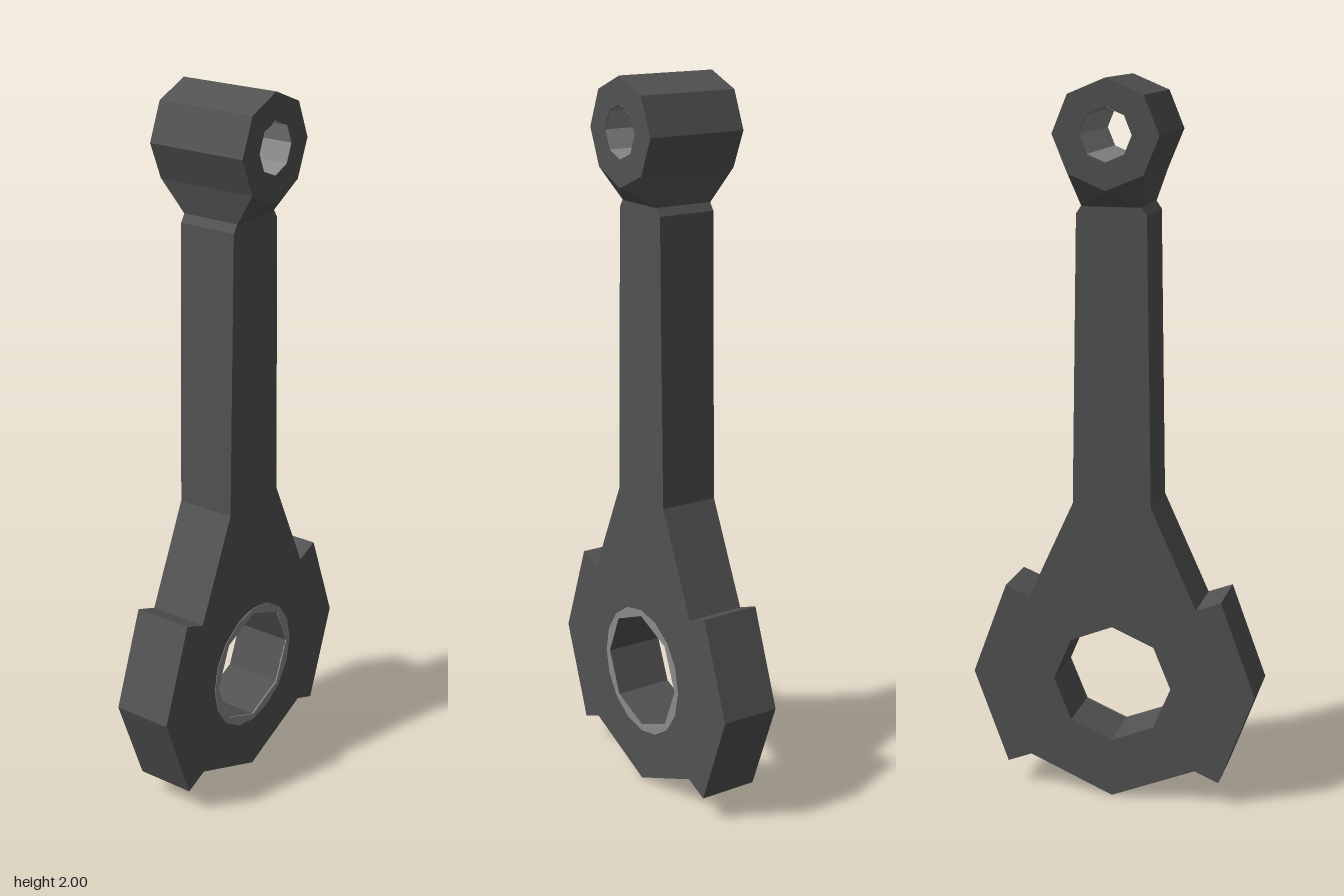
import * as THREE from 'three';
import { ConvexGeometry } from 'three/addons/geometries/ConvexGeometry.js';

const standard = (name, color) => {
  const m = new THREE.MeshStandardMaterial({ color, flatShading: true });
  m.name = name;
  return m;
};

// Regular polygon with one corner pointing straight up
const polygon = (n, r, cy) => Array.from({ length: n }, (_, i) => {
  const a = Math.PI / 2 + (i * 2 * Math.PI) / n;
  return new THREE.Vector2(r * Math.cos(a), cy + r * Math.sin(a));
});

// Plate with a hole, centred on z
function plate(outline, hole, depth) {
  const shape = new THREE.Shape(outline);
  shape.holes.push(new THREE.Path(hole));
  const g = new THREE.ExtrudeGeometry(shape, { depth, bevelEnabled: false });
  return g.translate(0, 0, -depth / 2);
}

export function createModel() {
  const group = new THREE.Group();
  const steel = standard('dark steel', 0x525252);
  const bearing = standard('bearing grey', 0x8a8a8a);
  bearing.side = THREE.DoubleSide;
  const add = (name, geometry, material) => {
    const mesh = new THREE.Mesh(geometry, material);
    mesh.name = name;
    group.add(mesh);
    return mesh;
  };
  const bigY = 0.34, pinY = 1.86;

  // Shank and big end share one mirrored outline
  const half = [
    [0.238, 0.103], [0.307, 0.075], [0.405, 0.34], [0.307, 0.605], [0.238, 0.578],
    [0.11, 0.858], [0.096, 1.65], [0.081, 1.672],
  ];
  const outline = [[0, 0.003], ...half, ...half.map(([x, y]) => [-x, y]).reverse()]
    .map(([x, y]) => new THREE.Vector2(x, y));
  add('shankAndBigEnd', plate(outline, polygon(8, 0.168, bigY), 0.168), steel);

  // Bearing face on the front of the big end
  const ring = add('bearingFace', plate(polygon(16, 0.185, bigY), polygon(8, 0.168, bigY), 0.004), bearing);
  ring.position.z = 0.0835;

  // Small end
  add('smallEnd', plate(polygon(8, 0.143, pinY), polygon(8, 0.071, pinY), 0.288), steel);

  // Bushing lining the pin hole
  const bushing = new THREE.CylinderGeometry(0.07, 0.07, 0.287, 8, 1, true).rotateX(Math.PI / 2);
  add('pinBushing', bushing, bearing).position.y = pinY;

  // Neck flaring from the shank to the wider small end
  const neck = [];
  for (const s of [-1, 1]) {
    for (const t of [-1, 1]) {
      neck.push(new THREE.Vector3(t * 0.101, 1.759, s * 0.1435));
      neck.push(new THREE.Vector3(t * 0.081, 1.67, s * 0.084));
    }
    neck.push(new THREE.Vector3(0, 1.717, s * 0.1435));
  }
  add('neck', new ConvexGeometry(neck), steel);

  return group;
}
